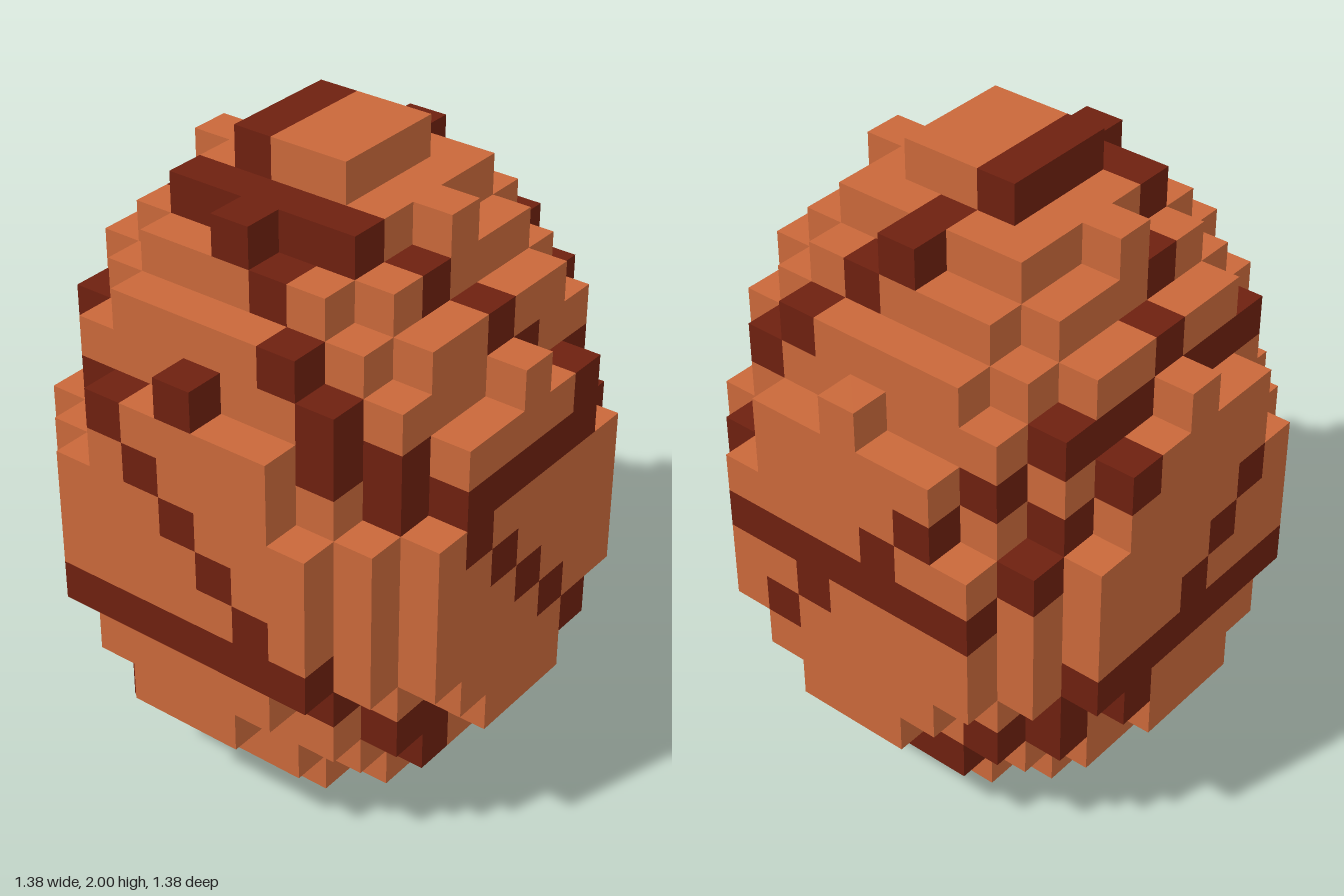
import * as THREE from 'three';
import { mergeGeometries } from 'three/addons/utils/BufferGeometryUtils.js';

const S = 0.125; // block size

// squared radius of each round layer, bottom to top
const RADII = [5, 13, 20, 26, 29, 34, 34, 34, 34, 29, 29, 25, 20, 13, 9, 2];

const solid = (x, y, z) => y >= 0 && y < RADII.length && x * x + z * z <= RADII[y];
const key = (x, y, z) => `${x},${y},${z}`;
const span = (a, b) => Array.from({ length: b - a + 1 }, (_, i) => a + i);

// Dark blocks on each side: one row per layer, bottom to top.
// Columns are x on the front and back, z on the two sides.
const MARKS = {
  front: [[0], [-1], [-2, 4], [-3, -2, 2, 3], [-4, 2], [-5, 1], [0], [-1, 5], [-2, 4],
    span(-3, 3), [-4, -3, 2, 3], [-5, -4, 1, 4], [-4, 0, 4], [-1], [-3, -2, 3], []],
  leftSide: [[0], [-1], span(-2, 2), [4, -3, -4], [5, 3, -4, -5], [2, -5], [1], span(-3, 3),
    [4, -1, -4], [5, 4, -2, -4], [5, 4, -3, -5], [3, -4], [2], [1], [0], [-1]],
  back: [[0], [-1], [-2], [-3, 3], [-3, 2, 3], span(-3, 3), [0], [-1], [-2, 4],
    [-3, 3], [-4, 2], [-3, -2, -1, 1, 2, 3], [0], [-1], [-2], [-1, 0, 1]],
  rightSide: [[0], [-1], [-2], [-3], [-3], span(-3, 3), [2], [1], [0],
    [-1], [-2], [0], [2], [1], [0], []],
};
// turns a column and a depth into x, z for each side
const SIDES = {
  front: (c, d) => [c, d],
  back: (c, d) => [c, -d],
  leftSide: (c, d) => [d, c],
  rightSide: (c, d) => [-d, c],
};

function darkBlocks() {
  const dark = new Set();
  for (const side in MARKS) {
    MARKS[side].forEach((columns, y) => {
      for (const c of columns) {
        // mark the outermost block of this column
        for (let d = 5; d >= 0; d--) {
          const [x, z] = SIDES[side](c, d);
          if (solid(x, y, z)) { dark.add(key(x, y, z)); break; }
        }
      }
    });
  }
  // crown bar, and the cross under the base
  for (const i of span(-2, 2)) {
    dark.add(key(-2, 14, i));
    dark.add(key(i, 0, 0));
    dark.add(key(0, 0, i));
  }
  dark.add(key(2, 14, 0));
  return dark;
}

// the six faces of a block: direction and turn of a plane
const FACES = [
  [0, 0, 1, 0, 0], [0, 0, -1, 0, Math.PI],
  [1, 0, 0, 0, Math.PI / 2], [-1, 0, 0, 0, -Math.PI / 2],
  [0, 1, 0, -Math.PI / 2, 0], [0, -1, 0, Math.PI / 2, 0],
].map(([dx, dy, dz, rx, ry]) => ({
  dx, dy, dz,
  plane: new THREE.PlaneGeometry(S, S).rotateX(rx).rotateY(ry)
    .translate(dx * S / 2, dy * S / 2, dz * S / 2),
}));

export function createModel() {
  const group = new THREE.Group();
  group.name = 'blockEgg';
  const shellBrown = new THREE.MeshStandardMaterial({ color: 0xc9683a });
  shellBrown.name = 'shellBrown';
  const darkBrown = new THREE.MeshStandardMaterial({ color: 0x6e200f });
  darkBrown.name = 'darkBrown';

  // collect only the outward faces of the blocks
  const dark = darkBlocks();
  const shell = [], markings = [];
  for (let y = 0; y < RADII.length; y++) {
    for (const x of span(-5, 5)) {
      for (const z of span(-5, 5)) {
        if (!solid(x, y, z)) continue;
        const list = dark.has(key(x, y, z)) ? markings : shell;
        for (const f of FACES) {
          if (solid(x + f.dx, y + f.dy, z + f.dz)) continue;
          list.push(f.plane.clone().translate(x * S, (y + 0.5) * S, z * S));
        }
      }
    }
  }

  const add = (name, faces, material) => {
    const mesh = new THREE.Mesh(mergeGeometries(faces), material);
    mesh.name = name;
    group.add(mesh);
  };
  add('shell', shell, shellBrown);
  add('markings', markings, darkBrown);
  return group;
}
